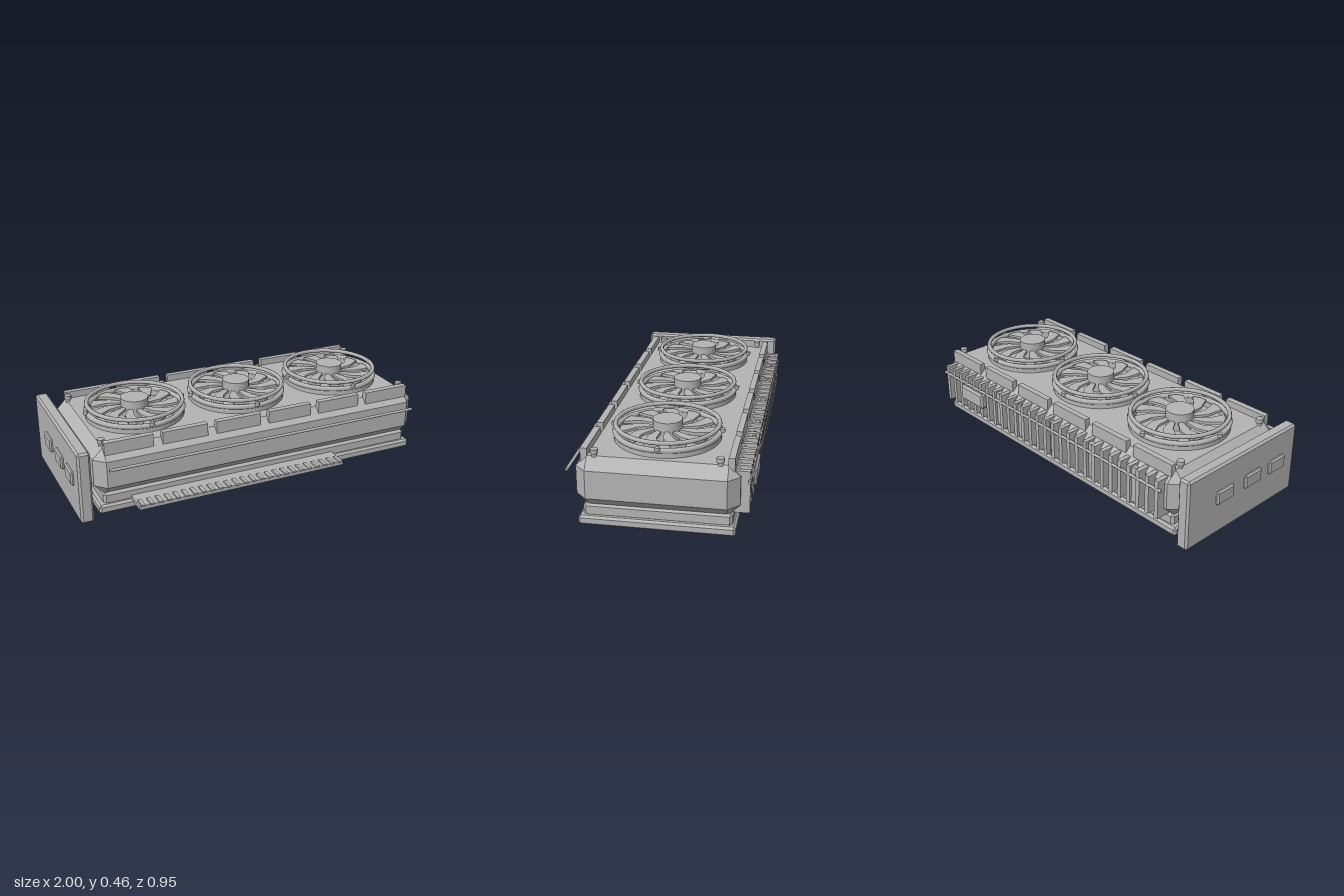
import * as THREE from 'three';
import { ConvexGeometry } from 'three/addons/geometries/ConvexGeometry.js';

const grey = new THREE.MeshStandardMaterial({ color: 0xb4b4b4 });
grey.name = 'plain grey';

function add(parent, name, geometry, x = 0, y = 0, z = 0) {
  const mesh = new THREE.Mesh(geometry, grey);
  mesh.name = name;
  mesh.position.set(x, y, z);
  parent.add(mesh);
  return mesh;
}

// Box given by its limits
function block(parent, name, x0, x1, y0, y1, z0, z1) {
  return add(parent, name, new THREE.BoxGeometry(x1 - x0, y1 - y0, z1 - z0),
    (x0 + x1) / 2, (y0 + y1) / 2, (z0 + z1) / 2);
}

// Box with every edge cut at 45 degrees
function chamfered(parent, name, x0, x1, y0, y1, z0, z1, c) {
  const half = [(x1 - x0) / 2, (y1 - y0) / 2, (z1 - z0) / 2];
  const points = [];
  for (const sx of [-1, 1]) for (const sy of [-1, 1]) for (const sz of [-1, 1]) {
    for (let face = 0; face < 3; face++) {
      const p = half.map((h, i) => (i === face ? h : h - c));
      points.push(new THREE.Vector3(p[0] * sx, p[1] * sy, p[2] * sz));
    }
  }
  return add(parent, name, new ConvexGeometry(points),
    (x0 + x1) / 2, (y0 + y1) / 2, (z0 + z1) / 2);
}

function cylinder(parent, name, r, y0, y1, x, z, sides) {
  return add(parent, name, new THREE.CylinderGeometry(r, r, y1 - y0, sides), x, (y0 + y1) / 2, z);
}

// Swept blade drawn in plan and given a little thickness
function bladeGeometry() {
  const at = (r, a) => new THREE.Vector2(r * Math.cos(a), r * Math.sin(a));
  const shape = new THREE.Shape([
    at(0.06, -0.12), at(0.15, 0.04), at(0.232, 0.24),
    at(0.236, 0.42), at(0.232, 0.58), at(0.15, 0.38), at(0.06, 0.22),
  ]);
  const g = new THREE.ExtrudeGeometry(shape, { depth: 0.014, bevelEnabled: false });
  g.rotateX(-Math.PI / 2);
  return g;
}

function createFan(x, z) {
  const fan = new THREE.Group();
  fan.name = 'fan';
  fan.position.set(x, 0, z);

  // Collar standing on the shroud
  const profile = [[0.245, 0.36], [0.266, 0.36], [0.266, 0.395], [0.245, 0.395], [0.245, 0.36]]
    .map(([r, y]) => new THREE.Vector2(r, y));
  const collar = new THREE.LatheGeometry(profile, 48).toNonIndexed();
  collar.computeVertexNormals();
  add(fan, 'fanCollar', collar);

  // Lower and upper rings
  for (const [name, radius, tube, y] of [['lowerRing', 0.259, 0.014, 0.401], ['upperRing', 0.256, 0.0115, 0.438]]) {
    const ring = add(fan, name, new THREE.TorusGeometry(radius, tube, 8, 48), 0, y, 0);
    ring.rotation.x = Math.PI / 2;
  }

  // Hub and blades
  cylinder(fan, 'fanHub', 0.074, 0.365, 0.46, 0, 0, 28);
  const blade = bladeGeometry();
  const count = 11;
  for (let i = 0; i < count; i++) {
    add(fan, 'fanBlade', blade, 0, 0.402, 0).rotation.y = (i / count) * Math.PI * 2;
  }

  // Studs on the four sides of the ring
  for (let i = 0; i < 4; i++) {
    const a = (i * Math.PI) / 2;
    cylinder(fan, 'ringStud', 0.013, 0.405, 0.424, Math.cos(a) * 0.272, Math.sin(a) * 0.272, 8);
  }
  return fan;
}

export function createModel() {
  const model = new THREE.Group();
  model.name = 'triple fan expansion card';

  // Stacked housing
  chamfered(model, 'basePlate', -0.88, 0.985, 0.014, 0.063, -0.4, 0.36, 0.011);
  chamfered(model, 'backPlate', -0.85, 0.96, 0.05, 0.12, -0.383, 0.34, 0.014);
  chamfered(model, 'shroud', -0.89, 0.997, 0.108, 0.365, -0.415, 0.372, 0.056);

  // Fans
  for (const x of [-0.545, 0.053, 0.653]) model.add(createFan(x, -0.02));

  // Raised strips along both long edges of the top
  const edges = [-0.835, -0.55, -0.25, 0.053, 0.355, 0.655, 0.945];
  for (const [z0, z1] of [[0.314, 0.347], [-0.388, -0.357]]) {
    for (let i = 0; i < 6; i++) {
      block(model, 'topStrip', edges[i] + (i ? 0.025 : 0), edges[i + 1] - (i < 5 ? 0.025 : 0),
        0.335, 0.402, z0, z1);
    }
  }

  // Corner screws
  for (const x of [-0.83, 0.937]) for (const z of [-0.32, 0.281]) {
    cylinder(model, 'screwPost', 0.012, 0.36, 0.38, x, z, 8);
    cylinder(model, 'screwHead', 0.02, 0.378, 0.4, x, z, 8);
  }

  // Long trim rods at front and rear
  for (const z of [0.416, -0.456]) {
    const rod = add(model, 'trimRod', new THREE.CylinderGeometry(0.008, 0.008, 1.78, 8), 0.055, 0.285, z);
    rod.rotation.z = Math.PI / 2;
  }

  // Cooling fins and pipes at the rear
  for (let i = 0; i < 28; i++) {
    const x = -0.805 + i * 0.0637;
    block(model, 'coolingFin', x - 0.012, x + 0.012, 0.118, 0.333, -0.459, -0.36);
  }
  for (const x of [-0.625, -0.33, -0.025, 0.28, 0.46]) {
    cylinder(model, 'heatPipe', 0.03, 0.125, 0.325, x, -0.432, 12).scale.z = 0.5;
  }

  // Power socket at the rear
  chamfered(model, 'powerSocket', 0.567, 0.77, 0.18, 0.272, -0.475, -0.4, 0.011);

  // Edge connector with its contacts
  block(model, 'edgeConnector', -0.705, 0.48, 0.057, 0.078, 0.33, 0.467);
  for (let i = 0; i < 25; i++) {
    const x = -0.686 + i * 0.0477;
    block(model, 'contact', x - 0.01, x + 0.01, 0.078, 0.088, 0.41, 0.477);
  }

  // Mounting bracket with three ports
  chamfered(model, 'bracket', -0.985, -0.917, 0, 0.39, -0.431, 0.389, 0.011);
  for (const [z0, z1] of [[-0.229, -0.106], [-0.018, 0.108], [0.174, 0.297]]) {
    chamfered(model, 'port', -1, -0.96, 0.176, 0.252, z0, z1, 0.008);
  }
  return model;
}
